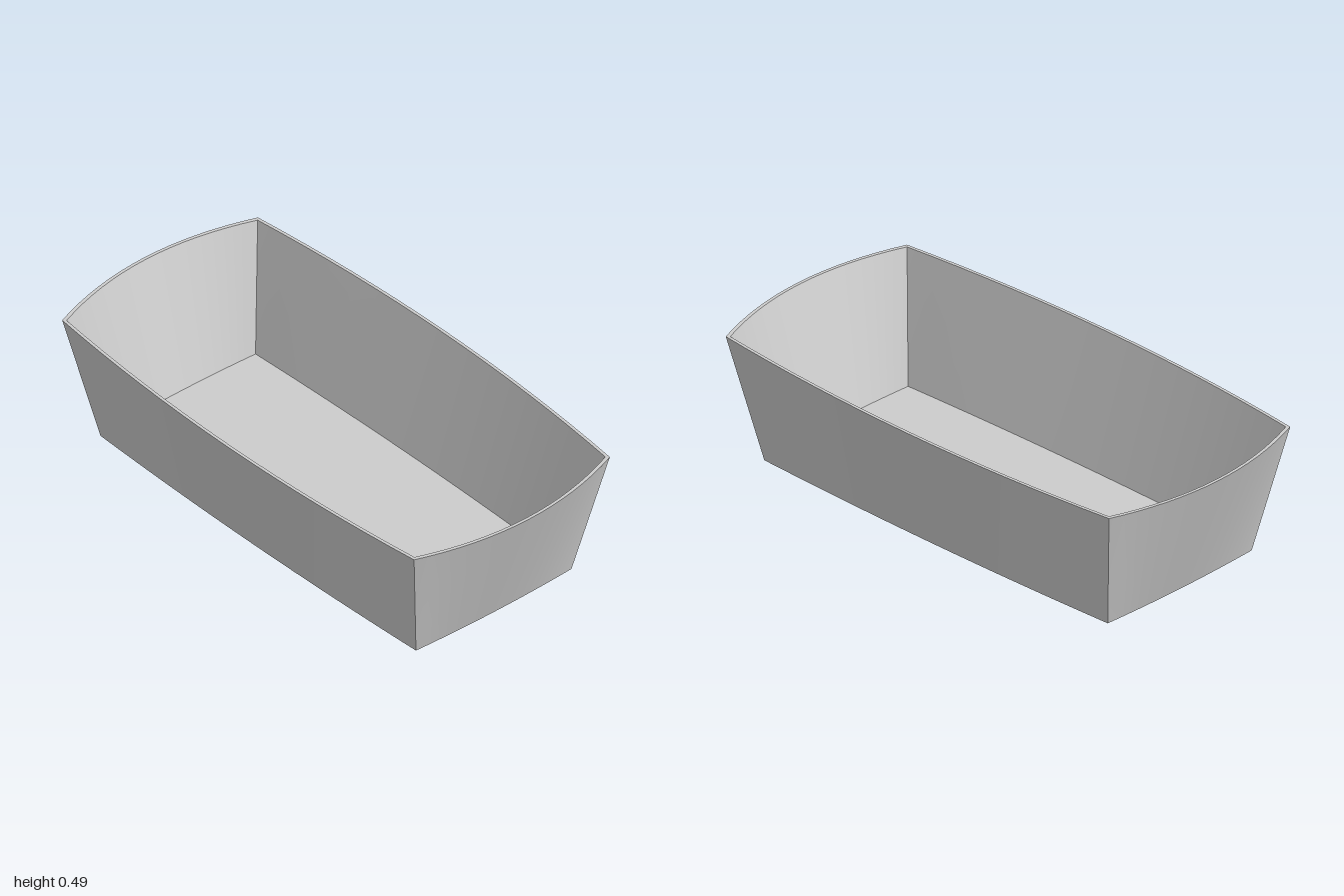
import * as THREE from 'three';

const SEGMENTS = 16;

// Four bowed sides of a rectangle, counter-clockwise from above, starting at the front.
// cx, cz: corner position; mx, mz: furthest reach at the middle of each side.
function ring({ cx, cz, mx, mz, y }) {
  const sides = [[], [], [], []];
  for (let i = 0; i <= SEGMENTS; i++) {
    const t = (2 * i) / SEGMENTS - 1;
    const x = cx + (mx - cx) * (1 - t * t);
    const z = cz + (mz - cz) * (1 - t * t);
    sides[0].push([t * cx, y, z]);
    sides[1].push([x, y, -t * cz]);
    sides[2].push([-t * cx, y, -z]);
    sides[3].push([-x, y, t * cz]);
  }
  return sides;
}

// Smooth strips between two rings, with sharp corners where the sides meet.
function loft(from, to) {
  const positions = [], index = [];
  from.forEach((side, s) => {
    const base = positions.length / 3;
    side.forEach((p, i) => positions.push(...p, ...to[s][i]));
    for (let i = 0; i < SEGMENTS; i++) {
      const a = base + 2 * i;
      index.push(a, a + 2, a + 3, a, a + 3, a + 1);
    }
  });
  const geometry = new THREE.BufferGeometry();
  geometry.setAttribute('position', new THREE.Float32BufferAttribute(positions, 3));
  geometry.setIndex(index);
  geometry.computeVertexNormals();
  return geometry;
}

// Flat panel filling a ring, facing up (1) or down (-1).
function panel(sides, facing) {
  const points = sides.flatMap((side) => side.slice(0, -1))
    .map(([x, , z]) => new THREE.Vector2(x, -facing * z));
  return new THREE.ShapeGeometry(new THREE.Shape(points))
    .rotateX(-facing * Math.PI / 2)
    .translate(0, sides[0][0][1], 0);
}

export function createModel() {
  const group = new THREE.Group();
  group.name = 'tray';
  const material = new THREE.MeshStandardMaterial({ color: 0xcccccc });
  const add = (name, geometry) => {
    const mesh = new THREE.Mesh(geometry, material);
    mesh.name = name;
    group.add(mesh);
  };

  // Section of the flared shell, from the outer foot over the rim to the floor
  const outerFoot = ring({ cx: 0.82, cz: 0.355, mx: 0.83, mz: 0.372, y: 0 });
  const outerRim = ring({ cx: 0.915, cz: 0.447, mx: 1, mz: 0.5, y: 0.487 });
  const innerRim = ring({ cx: 0.904, cz: 0.436, mx: 0.988, mz: 0.488, y: 0.487 });
  const innerFoot = ring({ cx: 0.81, cz: 0.344, mx: 0.82, mz: 0.36, y: 0.012 });

  add('outerWalls', loft(outerFoot, outerRim));
  add('rim', loft(outerRim, innerRim));
  add('innerWalls', loft(innerRim, innerFoot));
  add('floor', panel(innerFoot, 1));
  add('underside', panel(outerFoot, -1));
  return group;
}
